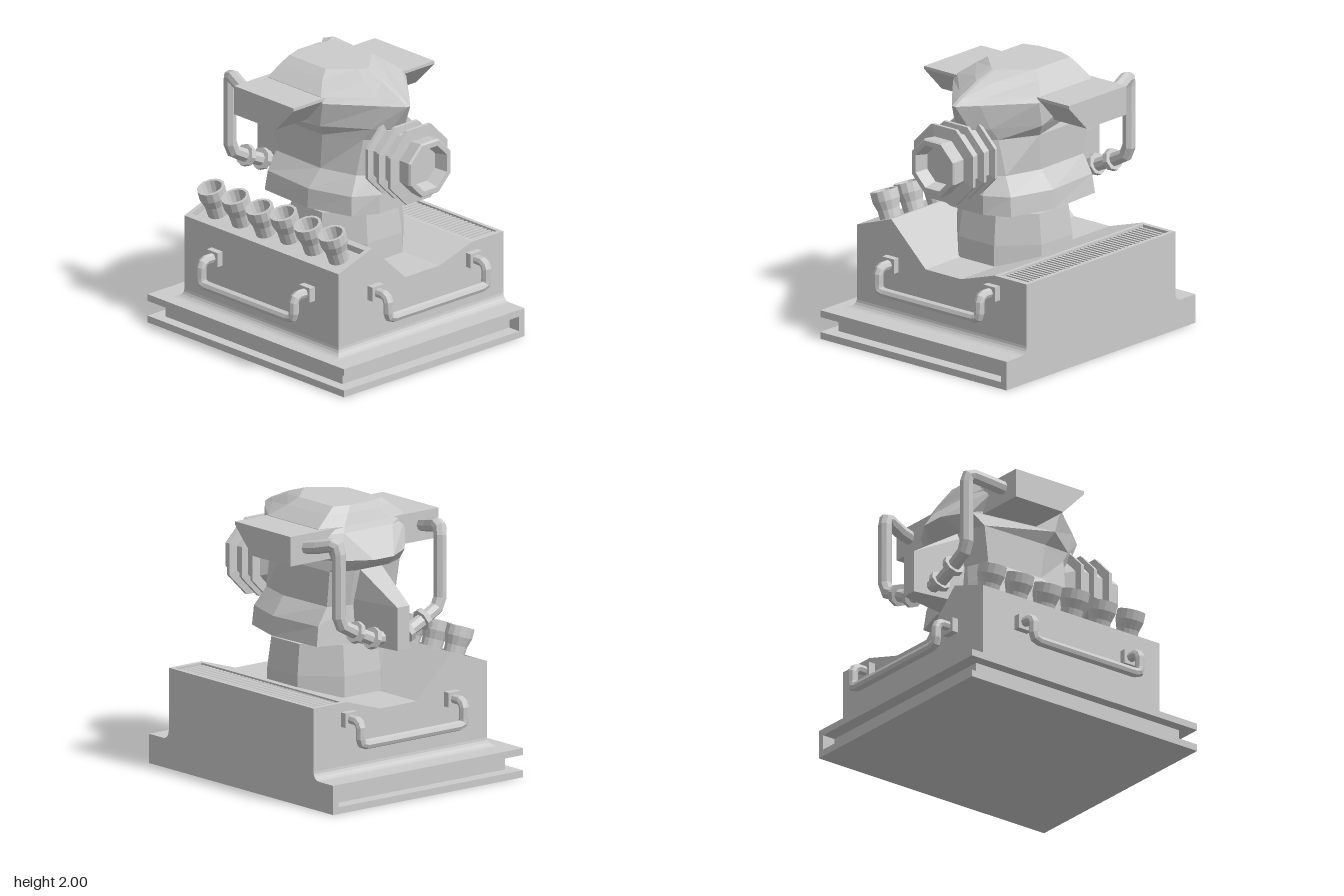
import * as THREE from 'three';

const mat = new THREE.MeshStandardMaterial({ color: 0xcccccc, flatShading: true, side: THREE.DoubleSide });
const CZ = -0.09; // centre line of neck and head

function add(parent, name, geo, x = 0, y = 0, z = 0) {
  const flat = geo.index ? geo.toNonIndexed() : geo;
  flat.computeVertexNormals();
  const m = new THREE.Mesh(flat, mat);
  m.name = name;
  m.position.set(x, y, z);
  parent.add(m);
  return m;
}

const box = (w, h, d) => new THREE.BoxGeometry(w, h, d);

// Extrudes an outline, centred on its depth
function prism(points, depth) {
  const shape = new THREE.Shape(points.map(p => new THREE.Vector2(...p)));
  return new THREE.ExtrudeGeometry(shape, { depth, bevelEnabled: false }).translate(0, 0, -depth / 2);
}

// Outline given as [z, y], extruded along x
const sidePrism = (points, width) => prism(points, width).rotateY(-Math.PI / 2);

// Skins a stack of equal-length rings of [x, y, z], closed at both ends
function loft(rings) {
  const n = rings[0].length, index = [];
  for (let r = 0; r < rings.length - 1; r++) {
    for (let i = 0; i < n; i++) {
      const a = r * n + i, b = r * n + (i + 1) % n;
      index.push(a, b, b + n, a, b + n, a + n);
    }
  }
  const top = (rings.length - 1) * n;
  for (let i = 1; i < n - 1; i++) index.push(0, i + 1, i, top, top + i, top + i + 1);
  const g = new THREE.BufferGeometry();
  g.setAttribute('position', new THREE.Float32BufferAttribute(rings.flat(2), 3));
  g.setIndex(index);
  return g;
}

// Ring at height y from half an outline [x, half width], nose to rear
const mirrored = (y, half) => [
  ...half.map(([x, w]) => [x, y, -w]),
  ...[...half].reverse().map(([x, w]) => [x, y, w]),
];

// Straight-sided path with mitred bends
class BentPath extends THREE.Curve {
  constructor(points) {
    super();
    this.p = points.map(q => new THREE.Vector3(...q));
  }
  getPoint(t) {
    const s = t * (this.p.length - 1), i = Math.min(Math.floor(s + 1e-6), this.p.length - 2);
    return this.p[i].clone().lerp(this.p[i + 1], s - i);
  }
  getPointAt(t) { return this.getPoint(t); }
  getTangentAt(t) {
    const n = this.p.length - 1, i = Math.round(t * n), d = new THREE.Vector3();
    if (i > 0) d.add(this.p[i].clone().sub(this.p[i - 1]).normalize());
    if (i < n) d.add(this.p[i + 1].clone().sub(this.p[i]).normalize());
    return d.normalize();
  }
}
const pipe = (points, r) => new THREE.TubeGeometry(new BentPath(points), points.length - 1, r, 8, false);

// Lathe from [radius, height] pairs
const lathe = (profile, sides, phase = 0) =>
  new THREE.LatheGeometry(profile.map(p => new THREE.Vector2(...p)), sides, phase);

function createBase(root) {
  const g = new THREE.Group();
  g.name = 'base';
  add(g, 'bottomPlate', box(2, 0.05, 1.73), 0, 0.025, -0.015);
  add(g, 'topPlate', box(2, 0.05, 1.73), 0, 0.185, -0.015);
  add(g, 'grooveCore', box(1.8, 0.11, 1.65), 0, 0.105, -0.055);
  add(g, 'backStrip', box(2, 0.11, 0.05), 0, 0.105, -0.855);
  // Concave moulding round the foot of the housing
  const rings = [];
  for (let i = 0; i <= 5; i++) {
    const a = i / 5 * Math.PI / 2;
    const d = 0.06 * (1 - Math.sin(a)), y = 0.27 - 0.06 * Math.cos(a);
    const x = 0.785 + d, z = 0.70 + d;
    rings.push([[x, y, z], [x, y, -0.88], [-x, y, -0.88], [-x, y, z]]);
  }
  add(g, 'moulding', loft(rings));
  root.add(g);
}

function createHousing(root) {
  const g = new THREE.Group();
  g.name = 'housing';
  const saddle = [[0.38, 0.93], [0.06, 0.63], [-0.27, 0.63], [-0.58, 0.725]];
  const cupTray = [[0.66, 0.834], [0.66, 0.79], [0.42, 0.873], [0.42, 0.916]];
  const ventTray = [[-0.61, 0.725], [-0.61, 0.685], [-0.85, 0.685], [-0.85, 0.725]];
  const start = [[0.70, 0.2], [0.70, 0.82]], end = [[-0.88, 0.725], [-0.88, 0.2]];
  add(g, 'housingCore', sidePrism([...start, ...cupTray, ...saddle, ...ventTray, ...end], 1.5));
  for (const s of [-1, 1]) {
    add(g, 'housingWall', sidePrism([...start, ...saddle, ...end], 0.035), s * 0.7675);
  }
  // Vent slats
  for (let i = 0; i < 38; i++) {
    add(g, 'ventSlat', box(0.02, 0.03, 0.24), -0.72 + i * 1.44 / 37, 0.698, -0.73);
  }
  // Row of cups
  const cup = [[0.075, 0], [0.08, 0.09], [0.1, 0.155], [0.1, 0.225], [0.08, 0.225], [0.07, 0.16], [0.06, 0.09], [0, 0.09]];
  [0, 0, -0.01, 0.015, 0, 0].forEach((dy, i) => {
    const m = add(g, 'cup', lathe(cup, 14), -0.62 + i * 0.246, 0.84 + dy, 0.53);
    m.rotation.x = 0.33;
  });
  root.add(g);
}

// Grab handle on a wall facing local +z
function createHandle(root, name, x, z, turn) {
  const g = new THREE.Group();
  g.name = name;
  const half = [[0.47, 0.61, 0.02], [0.47, 0.61, 0.11], [0.47, 0.595, 0.138], [0.47, 0.565, 0.152],
    [0.47, 0.49, 0.152], [0.46, 0.455, 0.152], [0.42, 0.442, 0.152]];
  const other = half.map(([a, b, c]) => [-a, b, c]).reverse();
  add(g, 'bar', pipe([...half, ...other], 0.036));
  for (const s of [-1, 1]) add(g, 'mount', box(0.11, 0.105, 0.05), s * 0.47, 0.607, 0.025);
  g.position.set(x, 0, z);
  g.rotation.y = turn;
  root.add(g);
}

function createHead(root) {
  const g = new THREE.Group();
  g.name = 'head';
  g.position.z = CZ;
  add(g, 'neck', lathe([[0, 0.58], [0.435, 0.58], [0.43, 0.78], [0.4, 1.0], [0, 1.0]], 8, Math.PI / 8), 0.02);
  add(g, 'neckPin', new THREE.CylinderGeometry(0.17, 0.17, 0.1, 8), 0.02, 1.01);
  add(g, 'skirt', loft([
    mirrored(1.03, [[0.52, 0.15], [0.43, 0.33], [0.09, 0.435], [-0.37, 0.41], [-0.45, 0.17]]),
    mirrored(1.17, [[0.52, 0.15], [0.42, 0.32], [0.09, 0.425], [-0.36, 0.39], [-0.43, 0.17]]),
    mirrored(1.30, [[0.46, 0.14], [0.38, 0.24], [0.10, 0.32], [-0.36, 0.31], [-0.42, 0.15]]),
    mirrored(1.56, [[0.50, 0.08], [0.40, 0.19], [0.13, 0.33], [-0.40, 0.32], [-0.47, 0.15]]),
  ]));
  add(g, 'helmet', loft([
    mirrored(1.56, [[0.50, 0.08], [0.40, 0.19], [0.13, 0.33], [-0.40, 0.32], [-0.48, 0.15]]),
    mirrored(1.65, [[0.56, 0.06], [0.46, 0.17], [0.17, 0.39], [-0.49, 0.29], [-0.61, 0.09]]),
    mirrored(1.83, [[0.66, 0.015], [0.53, 0.13], [0.21, 0.40], [-0.36, 0.40], [-0.44, 0.22]]),
    mirrored(1.87, [[0.59, 0.015], [0.46, 0.12], [0.18, 0.39], [-0.36, 0.39], [-0.42, 0.2]]),
    mirrored(1.95, [[0.40, 0.015], [0.32, 0.1], [0.09, 0.29], [-0.34, 0.29], [-0.385, 0.14]]),
    mirrored(2.0, [[0.24, 0.01], [0.2, 0.06], [0.05, 0.22], [-0.32, 0.22], [-0.36, 0.1]]),
  ]));
  add(g, 'earBeam', prism([[-0.40, 1.655], [0.02, 1.655], [0.205, 1.845], [0.205, 1.867], [-0.40, 1.867]], 1.35));
  // Tapered fin at the rear
  add(g, 'rearFin', loft([
    mirrored(1.03, [[-0.35, 0.13], [-0.82, 0.055]]),
    mirrored(1.34, [[-0.35, 0.13], [-0.82, 0.055]]),
    mirrored(1.57, [[-0.35, 0.13], [-0.45, 0.1]]),
  ]));
  // Ribbed snout; radii are measured to the flats of the octagon
  const snout = [[0, 0.37], [0.11, 0.37], [0.2, 0.5], [0.265, 0.5], [0.265, 0.525], [0.215, 0.53],
    [0.215, 0.61], [0.265, 0.615], [0.265, 0.64], [0.21, 0.645], [0.21, 0.735], [0.275, 0.74],
    [0.275, 0.765], [0.19, 0.77], [0.2, 0.87], [0.19, 0.885], [0.155, 0.885], [0.13, 0.79], [0, 0.79]];
  const k = 1 / Math.cos(Math.PI / 8);
  const s = add(g, 'snout', lathe(snout.map(([r, h]) => [r * k, h]), 8, Math.PI / 8), 0, 1.43, 0);
  s.rotation.z = -Math.PI / 2;
  // Hoses from the ears down to the fin
  for (const side of [-1, 1]) {
    const path = [[-0.36, 1.765, 0.53], [-0.5, 1.79, 0.51], [-0.62, 1.82, 0.475], [-0.66, 1.81, 0.465],
      [-0.67, 1.76, 0.46], [-0.67, 1.31, 0.46], [-0.67, 1.24, 0.43], [-0.67, 1.18, 0.32],
      [-0.67, 1.11, 0.17], [-0.67, 1.1, 0.02]];
    add(g, 'hose', pipe(path.map(([x, y, z]) => [x, y, z * side]), 0.05));
    for (const [y, z] of [[1.175, 0.305], [1.11, 0.155]]) {
      const ring = add(g, 'hoseRing', new THREE.CylinderGeometry(0.08, 0.08, 0.04, 8), -0.67, y, z * side);
      ring.rotation.x = side * (Math.PI / 2 - 0.4);
    }
  }
  root.add(g);
}

export function createModel() {
  const root = new THREE.Group();
  root.name = 'model';
  createBase(root);
  createHousing(root);
  createHandle(root, 'frontHandle', 0.02, 0.70, 0);
  createHandle(root, 'leftHandle', 0.785, -0.105, Math.PI / 2);
  createHandle(root, 'rightHandle', -0.785, -0.105, -Math.PI / 2);
  createHead(root);
  return root;
}
